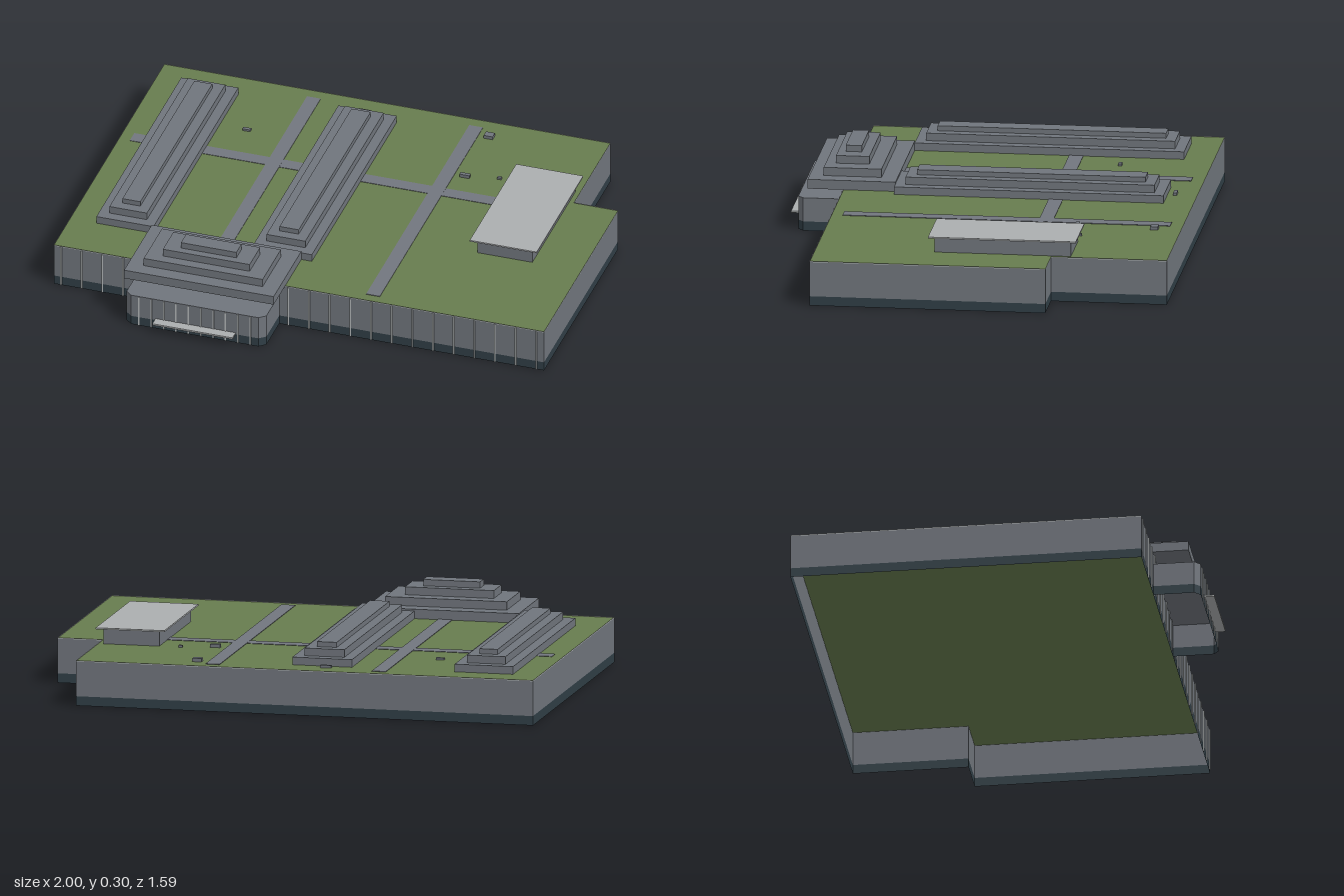
import * as THREE from 'three';

const material = (name, color, side = THREE.FrontSide) => {
  const m = new THREE.MeshStandardMaterial({ color, side });
  m.name = name;
  return m;
};

export function createModel() {
  const model = new THREE.Group();
  model.name = 'greenRoofBuilding';

  const wallGrey = material('wall grey', 0x70757c, THREE.DoubleSide);
  const baseDark = material('dark base', 0x303e46, THREE.DoubleSide);
  const roofGreen = material('roof green', 0x677c4e, THREE.DoubleSide);
  const pathGrey = material('path grey', 0x72767e);
  const lightGrey = material('light grey', 0xabaeaf);
  const trimPale = material('pale trim', 0xb4b9ba, THREE.DoubleSide);

  const add = (name, geometry, mat) => {
    const mesh = new THREE.Mesh(geometry, mat);
    mesh.name = name;
    model.add(mesh);
    return mesh;
  };

  // Box given by its limits on each axis
  const box = (name, mat, x0, x1, y0, y1, z0, z1) =>
    add(name, new THREE.BoxGeometry(x1 - x0, y1 - y0, z1 - z0), mat)
      .position.set((x0 + x1) / 2, (y0 + y1) / 2, (z0 + z1) / 2);

  // Upright open shell along a plan outline of [x, z] points
  const wallRibbon = (name, mat, points, y0, y1, closed) => {
    const pos = [];
    const count = closed ? points.length : points.length - 1;
    for (let i = 0; i < count; i++) {
      const [ax, az] = points[i];
      const [bx, bz] = points[(i + 1) % points.length];
      pos.push(ax, y0, az, bx, y0, bz, bx, y1, bz, ax, y0, az, bx, y1, bz, ax, y1, az);
    }
    const g = new THREE.BufferGeometry();
    g.setAttribute('position', new THREE.Float32BufferAttribute(pos, 3));
    g.computeVertexNormals();
    add(name, g, mat);
  };

  // Flat sheet filling a plan outline
  const sheet = (name, mat, points, y) => {
    const shape = new THREE.Shape(points.map(([x, z]) => new THREE.Vector2(x, -z)));
    add(name, new THREE.ShapeGeometry(shape).rotateX(-Math.PI / 2), mat).position.y = y;
  };

  // Main hall: hollow walls, dark base, pale roof edge and planted roof
  const ROOF = 0.175, ON_ROOF = 0.1758, BASE = 0.037, FRONT = 0.575;
  const hall = [[-1, FRONT], [1, FRONT], [1, -0.345], [0.82, -0.345], [0.82, -0.797], [-1, -0.797]];
  wallRibbon('hallBase', baseDark, hall, 0, BASE, true);
  wallRibbon('hallWalls', wallGrey, hall, BASE, 0.174, true);
  wallRibbon('roofEdge', trimPale, hall, 0.174, 0.178, true);
  sheet('greenRoof', roofGreen, hall, ROOF);

  // Front facade mullions
  for (let i = 0; i < 24; i++) {
    const x = -0.97 + i * 0.0843;
    box('facadeMullion', trimPale, x - 0.003, x + 0.003, 0.002, 0.174, FRONT + 0.0008, FRONT + 0.005);
  }

  // Entrance bay with chamfered corners
  const bay = [[-0.65, FRONT], [-0.65, 0.735], [-0.625, 0.757], [-0.105, 0.757], [-0.08, 0.735], [-0.08, FRONT]];
  wallRibbon('entranceBase', baseDark, bay, 0, BASE, false);
  wallRibbon('entranceWalls', wallGrey, bay, BASE, 0.132, false);
  sheet('entranceRoof', wallGrey, bay, 0.132);
  for (let i = 0; i < 10; i++) {
    const x = -0.592 + i * 0.0504;
    box('entranceMullion', trimPale, x - 0.0025, x + 0.0025, 0.002, 0.13, 0.7578, 0.761);
  }
  box('entranceLedge', lightGrey, -0.525, -0.198, 0.038, 0.045, 0.758, 0.797);

  // Stepped roof over the entrance
  [
    [-0.667, -0.057, ON_ROOF, 0.213, 0.372, 0.715],
    [-0.605, -0.12, 0.213, 0.246, 0.434, 0.66],
    [-0.54, -0.186, 0.246, 0.277, 0.49, 0.62],
    [-0.476, -0.25, 0.277, 0.302, 0.527, 0.59],
  ].forEach((t) => box('entranceRoofTier', wallGrey, ...t));

  // Two long stepped skylights
  for (const [x0, x1] of [[-0.893, -0.66], [-0.252, -0.014]]) {
    [[0, ON_ROOF, 0.206], [0.04, 0.206, 0.236], [0.08, 0.236, 0.256]].forEach(([inset, y0, y1]) =>
      box('skylightTier', wallGrey, x0 + inset, x1 - inset, y0, y1, -0.68 + inset, 0.372 - inset));
  }

  // Pavilion with overhanging pale roof
  box('pavilionWalls', wallGrey, 0.577, 0.8, ON_ROOF, 0.236, -0.42, 0.112);
  box('pavilionRoof', lightGrey, 0.552, 0.825, 0.236, 0.242, -0.442, 0.135);

  // Roof paths
  box('crossPath', pathGrey, -0.955, 0.577, ON_ROOF, 0.1775, -0.287, -0.231);
  box('leftPath', pathGrey, -0.402, -0.346, ON_ROOF, 0.178, -0.747, 0.372);
  box('rightPath', pathGrey, 0.26, 0.316, ON_ROOF, 0.178, -0.747, 0.532);

  // Small roof vents: x, z, width, depth, top
  [
    [-0.155, -0.71, 0.045, 0.014, 0.186],
    [0.36, -0.692, 0.036, 0.03, 0.189],
    [-0.548, -0.445, 0.032, 0.014, 0.184],
    [0.36, -0.391, 0.04, 0.016, 0.189],
    [0.492, -0.419, 0.016, 0.012, 0.184],
  ].forEach(([x, z, w, d, top]) =>
    box('roofVent', wallGrey, x - w / 2, x + w / 2, ON_ROOF, top, z - d / 2, z + d / 2));

  return model;
}
